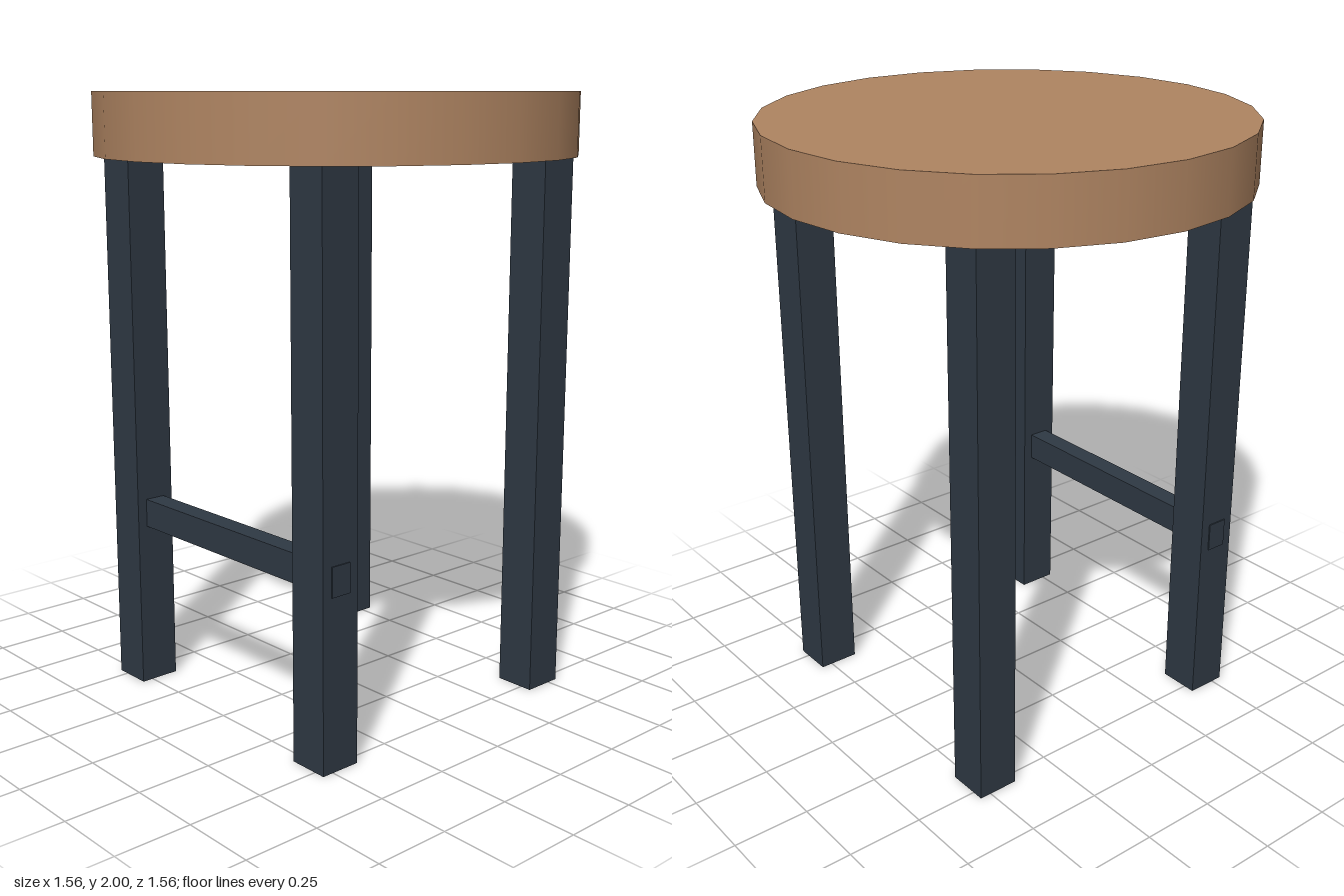
import * as THREE from 'three';

export function createModel() {
  const wood = new THREE.MeshStandardMaterial({ name: 'warm wood', color: 0xb08562 });
  const metal = new THREE.MeshStandardMaterial({ name: 'dark slate', color: 0x2f3944 });
  const stool = new THREE.Group();
  stool.name = 'stool';

  const add = (name, geometry, material, x, y, z) => {
    const mesh = new THREE.Mesh(geometry, material);
    mesh.name = name;
    mesh.position.set(x, y, z);
    stool.add(mesh);
  };

  // Round seat
  add('seat', new THREE.CylinderGeometry(0.778, 0.778, 0.2, 24), wood, 0, 1.9, 0);

  // Four square legs
  const legGeometry = new THREE.BoxGeometry(0.137, 1.8, 0.137);
  for (const [side, x] of [['Left', 0.47], ['Right', -0.47]]) {
    for (const [end, z] of [['front', 0.47], ['back', -0.47]]) {
      add(`${end}${side}Leg`, legGeometry, metal, x, 0.9, z);
    }
  }

  // Footrest passing through the front legs, its ends just proud of them
  add('footrest', new THREE.BoxGeometry(1.085, 0.095, 0.07), metal, 0, 0.602, 0.47);

  return stool;
}
